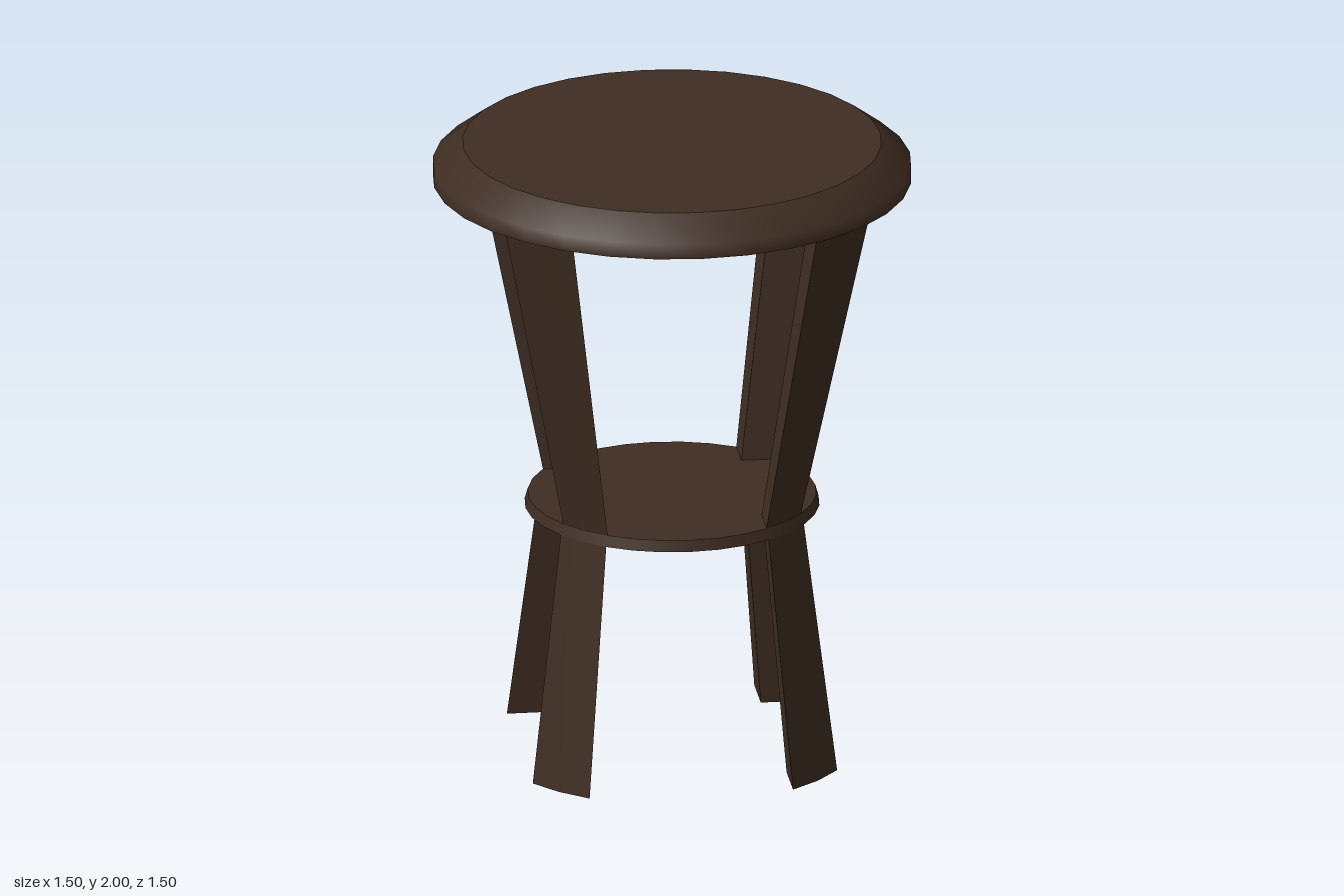
import * as THREE from 'three';
import { toCreasedNormals } from 'three/addons/utils/BufferGeometryUtils.js';

const SIDES = 32;
const STEP = (Math.PI * 2) / SIDES;

// Wedge cross-section: inner corner towards the centre, outer side on a circle of radius r
function wedge(r, y) {
  const inner = r * Math.sin(3 * STEP);
  const ring = [[inner, y, inner]];
  for (let i = 3; i <= 5; i++) ring.push([r * Math.sin(i * STEP), y, r * Math.cos(i * STEP)]);
  return ring;
}

// One tapering leg section between two heights
function legSection(r0, y0, r1, y1) {
  const a = wedge(r0, y0), b = wedge(r1, y1), n = a.length;
  const index = [];
  for (let i = 0; i < n; i++) {
    const j = (i + 1) % n;
    index.push(i, i + n, j, j, i + n, j + n);
  }
  for (let i = 1; i < n - 1; i++) index.push(0, i, i + 1, n, n + i + 1, n + i);
  // ring runs from +z to +x, i.e. counter-clockwise from above: flip to face outward
  for (let i = 0; i < index.length; i += 3) [index[i + 1], index[i + 2]] = [index[i + 2], index[i + 1]];
  const g = new THREE.BufferGeometry();
  g.setAttribute('position', new THREE.Float32BufferAttribute([...a, ...b].flat(), 3));
  g.setIndex(index);
  return orientOutward(toCreasedNormals(orientOutward(g.toNonIndexed()), 0.5));
}

// Make every triangle of a convex solid face away from its middle
function orientOutward(g) {
  const p = g.attributes.position;
  const mid = new THREE.Vector3(), v = [0, 1, 2].map(() => new THREE.Vector3());
  for (let i = 0; i < p.count; i++) mid.add(v[0].fromBufferAttribute(p, i));
  mid.divideScalar(p.count);
  for (let i = 0; i < p.count; i += 3) {
    v.forEach((q, k) => q.fromBufferAttribute(p, i + k));
    const normal = v[1].clone().sub(v[0]).cross(v[2].clone().sub(v[0]));
    if (normal.dot(v[0].clone().sub(mid)) < 0) {
      p.setXYZ(i + 1, v[2].x, v[2].y, v[2].z);
      p.setXYZ(i + 2, v[1].x, v[1].y, v[1].z);
    }
  }
  return g;
}

export function createModel() {
  const model = new THREE.Group();
  model.name = 'stool';
  const wood = new THREE.MeshStandardMaterial({ color: 0x3e2d22 });
  wood.name = 'dark wood';

  const add = (parent, name, geometry, y = 0) => {
    const mesh = new THREE.Mesh(geometry, wood);
    mesh.name = name;
    mesh.position.y = y;
    parent.add(mesh);
    return mesh;
  };

  // Seat: softly shaded bevelled rim with flat faces above and below
  const seat = new THREE.Group();
  seat.name = 'seat';
  model.add(seat);
  const rim = [[0.75, 1.88], [0.75, 1.93], [0.656, 2]].map(([x, y]) => new THREE.Vector2(x, y));
  add(seat, 'seatRim', new THREE.LatheGeometry(rim, SIDES));
  add(seat, 'seatTop', new THREE.CircleGeometry(0.656, SIDES).rotateX(-Math.PI / 2), 2);
  add(seat, 'seatUnderside', new THREE.CircleGeometry(0.75, SIDES).rotateX(Math.PI / 2), 1.88);

  // Round shelf at the waist of the legs
  add(model, 'shelf', new THREE.CylinderGeometry(0.452, 0.462, 0.035, SIDES), 0.8175);

  // Four legs, each splayed below and above the shelf
  const lower = legSection(0.577, 0, 0.461, 0.8);
  const upper = legSection(0.451, 0.835, 0.694, 1.88);
  for (let i = 0; i < 4; i++) {
    const leg = new THREE.Group();
    leg.name = ['frontLeftLeg', 'backLeftLeg', 'backRightLeg', 'frontRightLeg'][i];
    leg.rotation.y = (i * Math.PI) / 2;
    add(leg, 'lowerLeg', lower);
    add(leg, 'upperLeg', upper);
    model.add(leg);
  }
  return model;
}
